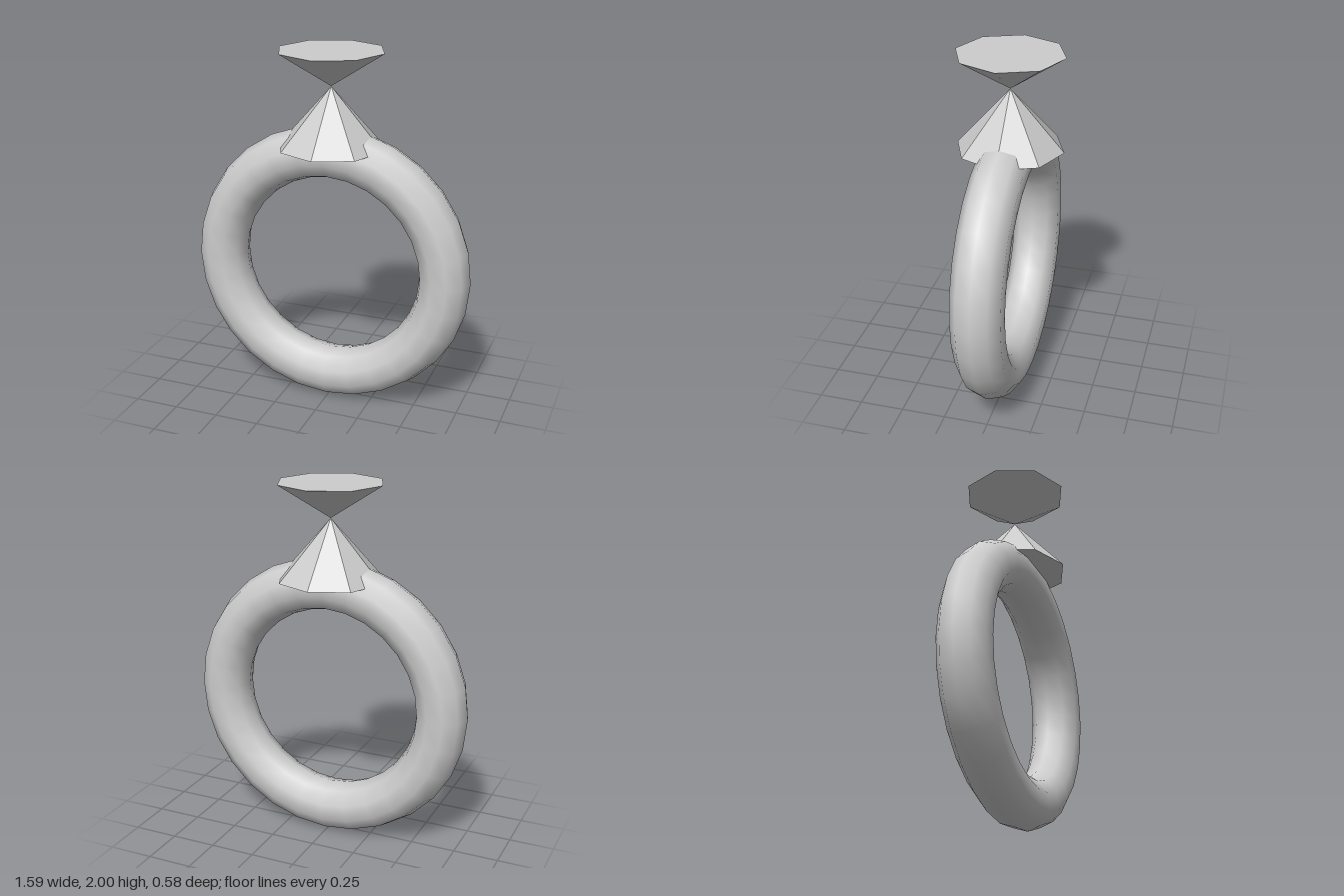
import * as THREE from 'three';

export function createModel() {
  const model = new THREE.Group();
  const silver = new THREE.MeshStandardMaterial({ color: 0xcccccc });
  silver.name = 'silver';
  // faceted copy of the same colour for the gem
  const facet = silver.clone();
  facet.name = 'silver faceted';
  facet.flatShading = true;

  const add = (name, geometry, material, y) => {
    const mesh = new THREE.Mesh(geometry, material);
    mesh.name = name;
    mesh.position.y = y;
    model.add(mesh);
    return mesh;
  };

  // smooth band standing upright
  const tube = 0.142, outer = 0.795;
  add('band', new THREE.TorusGeometry(outer - tube, tube, 10, 28), silver, outer + 0.004);

  // two eight-sided cones meeting tip to tip
  const tip = 1.81, base = 1.48, top = 2, radius = 0.292;
  add('setting', new THREE.ConeGeometry(radius, tip - base, 8), facet, (tip + base) / 2);
  const gem = add('gem', new THREE.ConeGeometry(radius, top - tip, 8), facet, (tip + top) / 2);
  gem.rotation.x = Math.PI;

  return model;
}
